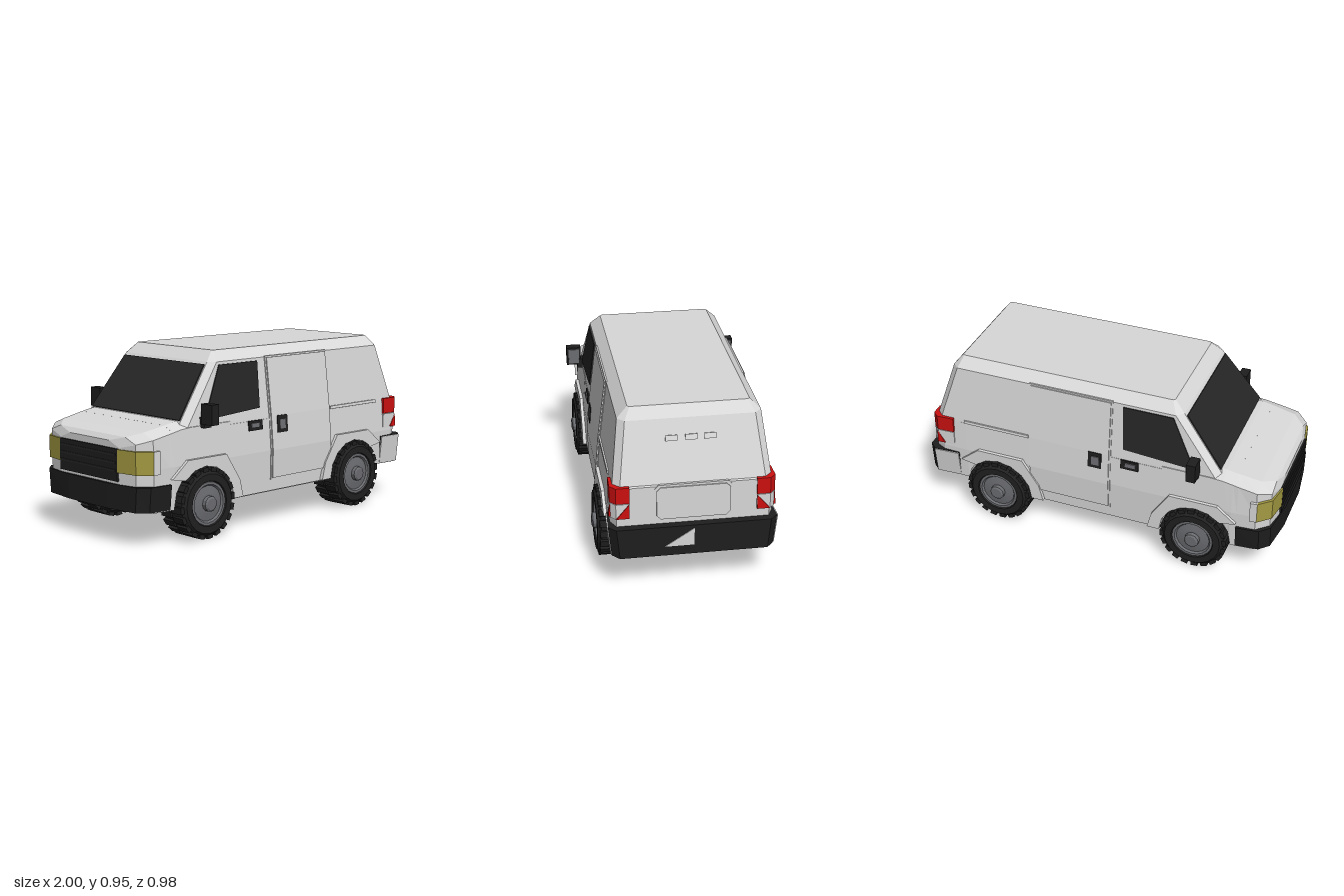
import * as THREE from 'three';
import { mergeGeometries } from 'three/addons/utils/BufferGeometryUtils.js';

const mat = (name, color) => {
  const m = new THREE.MeshStandardMaterial({ color });
  m.name = name;
  return m;
};

export function createModel() {
  const van = new THREE.Group();
  van.name = 'van';
  const M = {
    paint: mat('light grey paint', 0xd8d8d8),
    black: mat('black plastic', 0x1e1e1e),
    glass: mat('dark glass', 0x262626),
    tyre: mat('tyre rubber', 0x202020),
    rim: mat('rim grey', 0x6c6d71),
    red: mat('red lamp', 0xcc1010),
    yellow: mat('yellow lamp', 0xa39a42),
  };

  // Faceted geometry helpers
  const facet = (g) => {
    const f = g.index ? g.toNonIndexed() : g;
    f.deleteAttribute('uv');
    f.computeVertexNormals();
    return f;
  };
  const flip = (g) => {
    const f = g.clone().scale(1, 1, -1), a = f.attributes.position;
    for (let i = 0; i < a.count; i += 3) {
      const p = new THREE.Vector3().fromBufferAttribute(a, i + 1);
      const q = new THREE.Vector3().fromBufferAttribute(a, i + 2);
      a.setXYZ(i + 1, q.x, q.y, q.z);
      a.setXYZ(i + 2, p.x, p.y, p.z);
    }
    f.computeVertexNormals();
    return f;
  };
  const add = (name, g, m, parent = van) => {
    const mesh = new THREE.Mesh(facet(g), m);
    mesh.name = name;
    parent.add(mesh);
  };
  const both = (name, g, m) => {
    const f = facet(g);
    add(name + 'Left', f, m);
    add(name + 'Right', flip(f), m);
  };
  const box = (x0, x1, y0, y1, z0, z1) => new THREE.BoxGeometry(x1 - x0, y1 - y0, z1 - z0)
    .translate((x0 + x1) / 2, (y0 + y1) / 2, (z0 + z1) / 2);
  // Closed loft through rings of points, capped at both ends
  const loft = (rings) => {
    const v = [], tri = (...p) => p.forEach((q) => v.push(...q));
    const n = rings[0].length, end = rings[rings.length - 1];
    for (let i = 0; i + 1 < rings.length; i++) for (let j = 0; j < n; j++) {
      const k = (j + 1) % n, a = rings[i], b = rings[i + 1];
      tri(a[j], a[k], b[k]);
      tri(a[j], b[k], b[j]);
    }
    for (let j = 1; j + 1 < n; j++) {
      tri(rings[0][0], rings[0][j + 1], rings[0][j]);
      tri(end[0], end[j], end[j + 1]);
    }
    return new THREE.BufferGeometry().setAttribute('position', new THREE.Float32BufferAttribute(v, 3));
  };
  const shape = (pts) => new THREE.Shape(pts.map(([x, y]) => new THREE.Vector2(x, y)));
  const extrude = (s, depth) => new THREE.ExtrudeGeometry(s, { depth, bevelEnabled: false });
  // Plan outline (x, z) raised from y0 to y1
  const plan = (pts, y0, y1) => extrude(shape(pts.map(([x, z]) => [x, -z])), y1 - y0)
    .rotateX(-Math.PI / 2).translate(0, y0, 0);

  // Lower body: cross-sections [x, bottom, top, half width, hood edge inset], opened over the wheels
  const wheelX = [-0.575, 0.565], wheelY = 0.19, arch = 0.196;
  const stations = [[-0.985, 0.2, 0.53, 0.24, 0], [-0.965, 0.19, 0.555, 0.345, 0],
    [-0.9, 0.18, 0.577, 0.405, 0.004], [-0.8, 0.18, 0.595, 0.413, 0.01]];
  wheelX.forEach((c, i) => {
    stations.push([c - arch, 0.18, 0.6, 0.415, 0.013]);
    for (let k = 0; k <= 8; k++) {
      const a = Math.PI * k / 8, x = c - arch * Math.cos(a);
      stations.push([x, wheelY + arch * Math.sin(a), i ? 0.6 : Math.min(0.615, 0.595 + (x + 0.8) * 0.18), 0.415, 0.013]);
    }
    stations.push([c + arch, i ? 0.21 : 0.18, 0.6, 0.415, 0.013]);
  });
  stations.push([0.9, 0.21, 0.6, 0.412, 0.013], [0.955, 0.22, 0.58, 0.385, 0.013]);
  add('lowerBody', loft(stations.map(([x, b, t, w, inset]) => {
    const half = [[b, w - 0.005], [Math.max(b, 0.4), w], [t - 0.03, w - inset], [t, w - 0.08]];
    return [...half.map(([y, z]) => [x, y, -z]), ...half.reverse().map(([y, z]) => [x, y, z])];
  })), M.paint);

  // Cabin: chamfered rings from belt line to roof
  const ring = (y, x0, x1, w, c) => [
    [x1, w - c], [x1, c - w], [x1 - c, -w], [x0 + c, -w],
    [x0, c - w], [x0, w - c], [x0 + c, w], [x1 - c, w]].map(([x, z]) => [x, y, z]);
  add('cabin', loft([ring(0.57, -0.718, 0.948, 0.401, 0.035), ring(0.58, -0.71, 0.945, 0.4, 0.035),
    ring(0.895, -0.47, 0.845, 0.36, 0.035), ring(0.95, -0.41, 0.8, 0.305, 0.01)]), M.paint);

  // Windscreen
  const screen = (o) => [[-0.683, 0.615, 0.355], [-0.481, 0.88, 0.32], [-0.481, 0.88, -0.32], [-0.683, 0.615, -0.355]]
    .map(([x, y, z]) => [x - 0.795 * o, y + 0.606 * o, z]);
  add('windscreen', loft([screen(0), screen(0.007)]), M.glass);

  // Panels that follow the lean of the body side
  const sideZ = (y) => y < 0.4 ? 0.41 + (y - 0.18) * 0.023
    : y < 0.58 ? 0.415 - (y - 0.4) * 0.083 : 0.4 - (y - 0.58) * 0.127;
  const panel = (pts, t) => {
    const g = extrude(shape(pts), t + 0.01), p = g.attributes.position;
    for (let i = 0; i < p.count; i++) p.setZ(i, p.getZ(i) - 0.01 + sideZ(p.getY(i)));
    return g;
  };
  const rect = (x0, x1, y0, y1) => [[x0, y0], [x1, y0], [x1, y1], [x0, y1]];
  const bands = (x0, x1, y0, y1, t) => mergeGeometries(
    [[y0, 0.4], [0.4, 0.58], [0.58, y1]].map(([a, b]) => panel(rect(x0, x1, a, b), t)));
  both('sideWindow', panel([[-0.555, 0.61], [-0.16, 0.635], [-0.15, 0.88], [-0.425, 0.88]], 0.006), M.glass);
  both('slidingDoorFrame', bands(-0.092, 0.384, 0.24, 0.9, 0.004), M.paint);
  both('slidingDoor', bands(-0.083, 0.375, 0.25, 0.892, 0.01), M.paint);
  both('slideRail', panel(rect(0.384, 0.77, 0.572, 0.588), 0.008), M.paint);
  both('frontDoorHandle', panel(rect(-0.25, -0.15, 0.52, 0.572), 0.008), M.black);
  both('frontDoorGrip', panel(rect(-0.235, -0.175, 0.535, 0.56), 0.014), M.rim);
  both('slidingDoorHandle', panel(rect(-0.043, 0.033, 0.49, 0.582), 0.014), M.black);
  both('slidingDoorGrip', panel(rect(-0.03, 0.012, 0.51, 0.56), 0.019), M.rim);

  // Wheel arch flares: flat-topped, cut short towards the bumpers
  wheelX.forEach((c, i) => {
    const pts = [[-0.265, 0.185], [-0.24, 0.28], [-0.145, 0.425], [0.12, 0.425], [0.225, 0.34]];
    for (let k = 2; k <= 8; k++) pts.push([arch * Math.cos(Math.PI * k / 8), 0.185 + arch * Math.sin(Math.PI * k / 8)]);
    const s = i ? 1 : -1;
    both((i ? 'rear' : 'front') + 'ArchFlare',
      extrude(shape(pts.map(([x, y]) => [c + s * x, y])), 0.038).translate(0, 0, 0.393), M.paint);
  });

  // Mirrors
  both('mirror', box(-0.59, -0.54, 0.595, 0.7, 0.41, 0.49), M.black);
  both('mirrorFace', box(-0.542, -0.535, 0.605, 0.69, 0.42, 0.48), M.rim);
  both('mirrorArm', box(-0.585, -0.535, 0.575, 0.63, 0.385, 0.43), M.black);

  // Nose: bumper, grille, headlights
  const mirrorPlan = (pts) => [...pts, ...pts.slice().reverse().map(([x, z]) => [x, -z])];
  const taper = (g, y0, s) => {
    const p = g.attributes.position;
    for (let i = 0; i < p.count; i++) if (p.getY(i) < y0) p.setZ(i, p.getZ(i) * s);
    return g;
  };
  add('frontBumper', taper(plan(mirrorPlan([[-0.8, 0.425], [-0.925, 0.412], [-0.975, 0.36], [-1, 0.16]]), 0.185, 0.315), 0.2, 0.97), M.black);
  add('grille', box(-0.995, -0.95, 0.33, 0.495, -0.235, 0.235), M.black);
  for (let k = 0; k < 3; k++) add('grilleSlat', box(-0.999, -0.99, 0.38 + k * 0.04, 0.39 + k * 0.04, -0.225, 0.225), M.glass);
  both('headlight', plan([[-0.994, 0.235], [-0.974, 0.355], [-0.908, 0.416], [-0.908, 0.3], [-0.95, 0.235]], 0.375, 0.493), M.yellow);
  both('indicator', plan([[-0.908, 0.416], [-0.87, 0.42], [-0.87, 0.35], [-0.908, 0.35]], 0.375, 0.493), M.paint);

  // Tail: bumper, lamps, plate recess, vents
  add('rearBumper', taper(plan(mirrorPlan([[0.81, 0.42], [0.955, 0.428], [0.996, 0.39]]), 0.207, 0.37), 0.22, 0.96), M.black);
  both('rearBumperSide', taper(plan([[0.812, 0.41], [0.812, 0.426], [0.955, 0.433], [0.955, 0.41]], 0.21, 0.368), 0.22, 0.96), M.paint);
  add('rearBumperMark', loft([0.992, 1.0].map((x) => [[x, 0.26, 0.15], [x, 0.26, 0], [x, 0.355, 0]])), M.paint);
  const lamp = [[0.835, 0.38], [0.835, 0.414], [0.93, 0.417], [0.962, 0.388], [0.962, 0.32], [0.9, 0.32]];
  both('tailLamp', plan(lamp, 0.5, 0.587), M.red);
  both('tailLampLower', plan(lamp, 0.415, 0.497), M.paint);
  both('tailLampRed', loft([0.96, 0.967].map((x) => [[x, 0.417, 0.387], [x, 0.417, 0.322], [x, 0.495, 0.322]])), M.red);
  both('tailLampSideRed', panel([[0.89, 0.42], [0.935, 0.42], [0.935, 0.49]], 0.009), M.red);
  const roundPanel = (w, y0, y1, x, t) => {
    const c = 0.02;
    return extrude(shape([[-w, y0 + c], [c - w, y0], [w - c, y0], [w, y0 + c], [w, y1 - c], [w - c, y1], [c - w, y1], [-w, y1 - c]]), t)
      .rotateY(Math.PI / 2).translate(x, 0, 0);
  };
  add('platePanelFrame', roundPanel(0.195, 0.388, 0.587, 0.945, 0.013), M.paint);
  add('platePanel', roundPanel(0.185, 0.398, 0.575, 0.945, 0.019), M.paint);
  [0.1, 0, -0.095].forEach((z) => add('rearVent',
    new THREE.BoxGeometry(0.014, 0.028, 0.06).rotateZ(0.307).translate(0.876, 0.802, z), M.paint));

  // Underbody and axles
  add('floor', box(-0.9, 0.9, 0.19, 0.215, -0.27, 0.27), M.paint);
  add('middleFloor', box(-0.375, 0.365, 0.174, 0.2, -0.4, 0.4), M.paint);
  wheelX.forEach((x) => add('axle', new THREE.CylinderGeometry(0.04, 0.04, 0.6, 8).rotateX(Math.PI / 2).translate(x, 0.16, 0), M.rim));

  // Wheels: chunky tyre, flat rim and hub
  const lathe = (pts, n) => new THREE.LatheGeometry(pts.map(([r, y]) => new THREE.Vector2(r, y)), n).rotateX(Math.PI / 2);
  const tyre = [lathe([[0.11, -0.085], [0.155, -0.092], [0.174, -0.07], [0.177, 0], [0.174, 0.07], [0.155, 0.09], [0.118, 0.09], [0.11, 0.07]], 20)];
  for (let k = 0; k < 20; k++) for (const s of [-1, 1]) {
    tyre.push(new THREE.BoxGeometry(0.036, 0.022, 0.074)
      .translate(0, 0.1745, s * 0.042).rotateZ((k + s * 0.25) * Math.PI / 10));
  }
  const tyreGeo = mergeGeometries(tyre.map(facet));
  const rimGeo = mergeGeometries([
    lathe([[0, -0.08], [0.112, -0.08], [0.113, 0.084], [0.1, 0.084], [0.092, 0.074], [0.05, 0.08], [0, 0.08]], 20),
    lathe([[0.042, 0.07], [0.04, 0.1], [0.03, 0.106], [0, 0.106]], 12)].map(facet));
  wheelX.forEach((x, i) => {
    for (const s of [1, -1]) {
      const wheel = new THREE.Group();
      wheel.name = (i ? 'rear' : 'front') + 'Wheel' + (s > 0 ? 'Left' : 'Right');
      wheel.position.set(x, wheelY, s * 0.367);
      if (s < 0) wheel.rotation.y = Math.PI;
      add('tyre', tyreGeo, M.tyre, wheel);
      add('rim', rimGeo, M.rim, wheel);
      van.add(wheel);
    }
  });
  return van;
}
